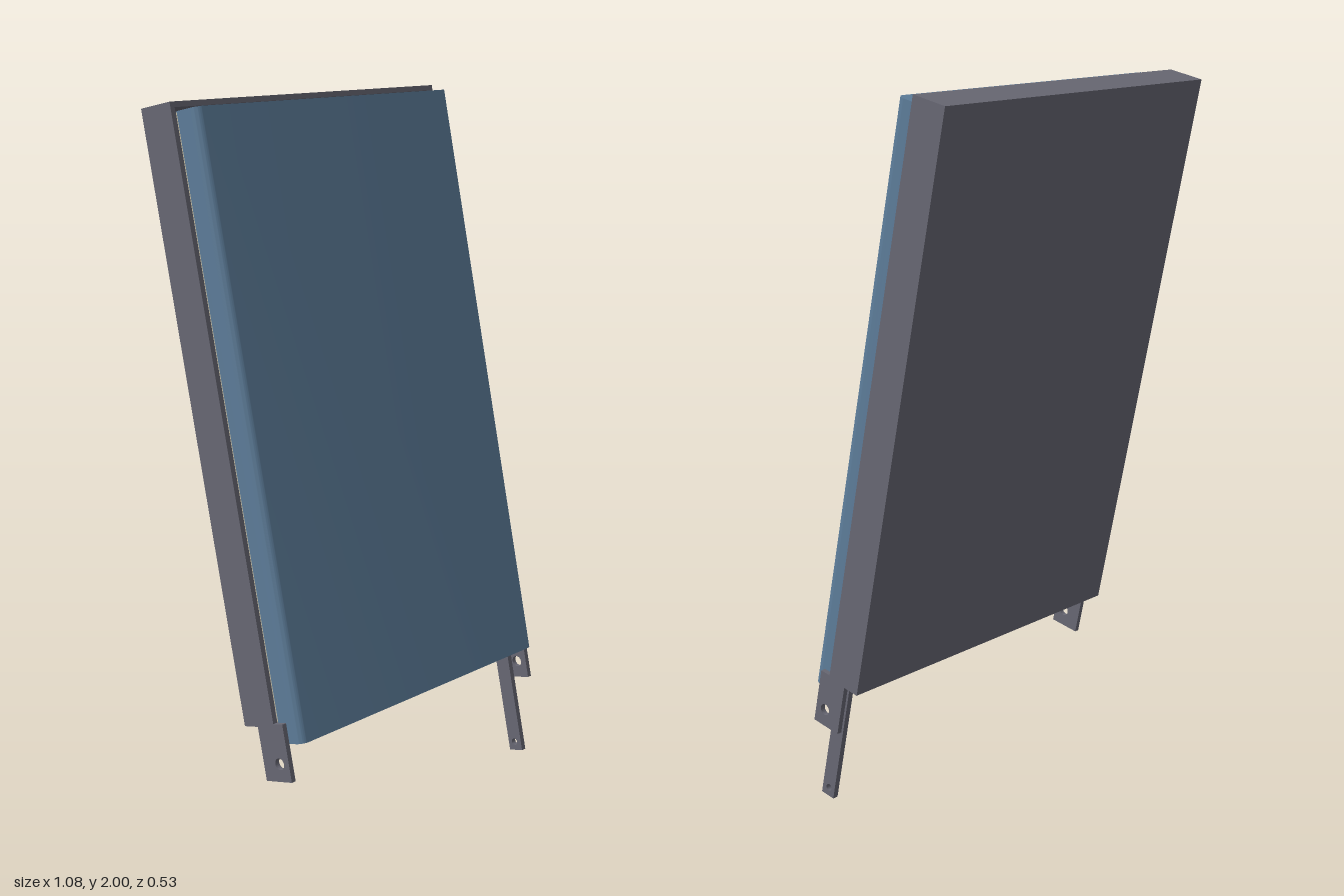
import * as THREE from 'three';
import { toCreasedNormals } from 'three/addons/utils/BufferGeometryUtils.js';

const mat = (name, color) => new THREE.MeshStandardMaterial({ name, color });

export function createModel() {
  const metal = mat('grey metal', 0x686874);
  const fabric = mat('blue upholstery', 0x5d7d9a);
  const backing = mat('beige backing', 0xbfb89f);

  // Everything is built upright (y along the backrest, z forward), then reclined.
  const backrest = new THREE.Group();
  backrest.name = 'backrest';
  const add = (name, geometry, material) => {
    const mesh = new THREE.Mesh(geometry, material);
    mesh.name = name;
    backrest.add(mesh);
    return mesh;
  };
  // Box given by its minimum and maximum corners
  const box = (name, a, b, material) => {
    const size = a.map((v, i) => b[i] - v);
    const g = new THREE.BoxGeometry(...size);
    g.translate(...a.map((v, i) => (v + b[i]) / 2));
    return add(name, g, material);
  };
  // Flat plate with a bolt hole: outline in [z, y], running from x0 to x1
  const plate = (name, outline, [hz, hy, hr], x0, x1) => {
    const shape = new THREE.Shape(outline.map(([z, y]) => new THREE.Vector2(z, y)));
    shape.holes.push(new THREE.Path().absarc(hz, hy, hr, 0, Math.PI * 2, true));
    const g = new THREE.ExtrudeGeometry(shape, { depth: x1 - x0, bevelEnabled: false, curveSegments: 12 });
    g.rotateY(-Math.PI / 2);
    g.translate(x1, 0, 0);
    return add(name, g, metal);
  };

  // Rear shell: open pan with back, top and bottom walls
  const W = 0.54, T = 0.015, back = 0.151, front = 0.26, low = 0.331, high = 1.99;
  const inner = W - T;
  box('shellBack', [-inner, low, back], [inner, high, back + T], metal);
  box('shellTop', [-inner, high - T, back + T], [inner, high, front], metal);
  box('shellBottom', [-inner, low, back + T], [inner, low + T, 0.25], metal);

  // Shell sides, each with a mounting bracket stepping forward at the foot
  const side = [
    [back, low], [0.2, low], [0.2, 0.182], [0.293, 0.182],
    [0.293, 0.341], [front, 0.341], [front, high], [back, high],
  ];
  plate('rightSideBracket', side, [0.259, 0.231, 0.016], -W, -inner);
  plate('leftSideBracket', side, [0.259, 0.231, 0.016], inner, W);

  // Long mounting leg on the left only
  const leg = [[0.202, -0.043], [0.248, -0.043], [0.248, 0.342], [0.202, 0.342]];
  plate('leftLeg', leg, [0.224, -0.017, 0.01], 0.498, 0.515);

  // Cushion with rounded front edges, extruded along the backrest
  const w = 0.518, r = 0.026, zb = 0.257, zf = 0.334;
  const s = new THREE.Shape();
  s.moveTo(-w, -zb);
  s.lineTo(-w, -zf + r);
  s.absarc(-w + r, -zf + r, r, Math.PI, Math.PI * 1.5, false);
  s.absarc(w - r, -zf + r, r, Math.PI * 1.5, Math.PI * 2, false);
  s.lineTo(w, -zb);
  s.closePath();
  const cushion = new THREE.ExtrudeGeometry(s, { depth: 1.683, bevelEnabled: false, curveSegments: 8 });
  cushion.rotateX(-Math.PI / 2);
  cushion.translate(0, 0.282, 0);
  add('cushion', toCreasedNormals(cushion, 0.6), fabric);

  // Thin backing panel behind the cushion
  box('cushionBacking', [-0.515, 0.283, 0.251], [0.515, 1.963, 0.2575], backing);

  // Recline
  backrest.rotation.x = -THREE.MathUtils.degToRad(12);
  const model = new THREE.Group();
  model.name = 'recliningBackrest';
  model.add(backrest);
  return model;
}
